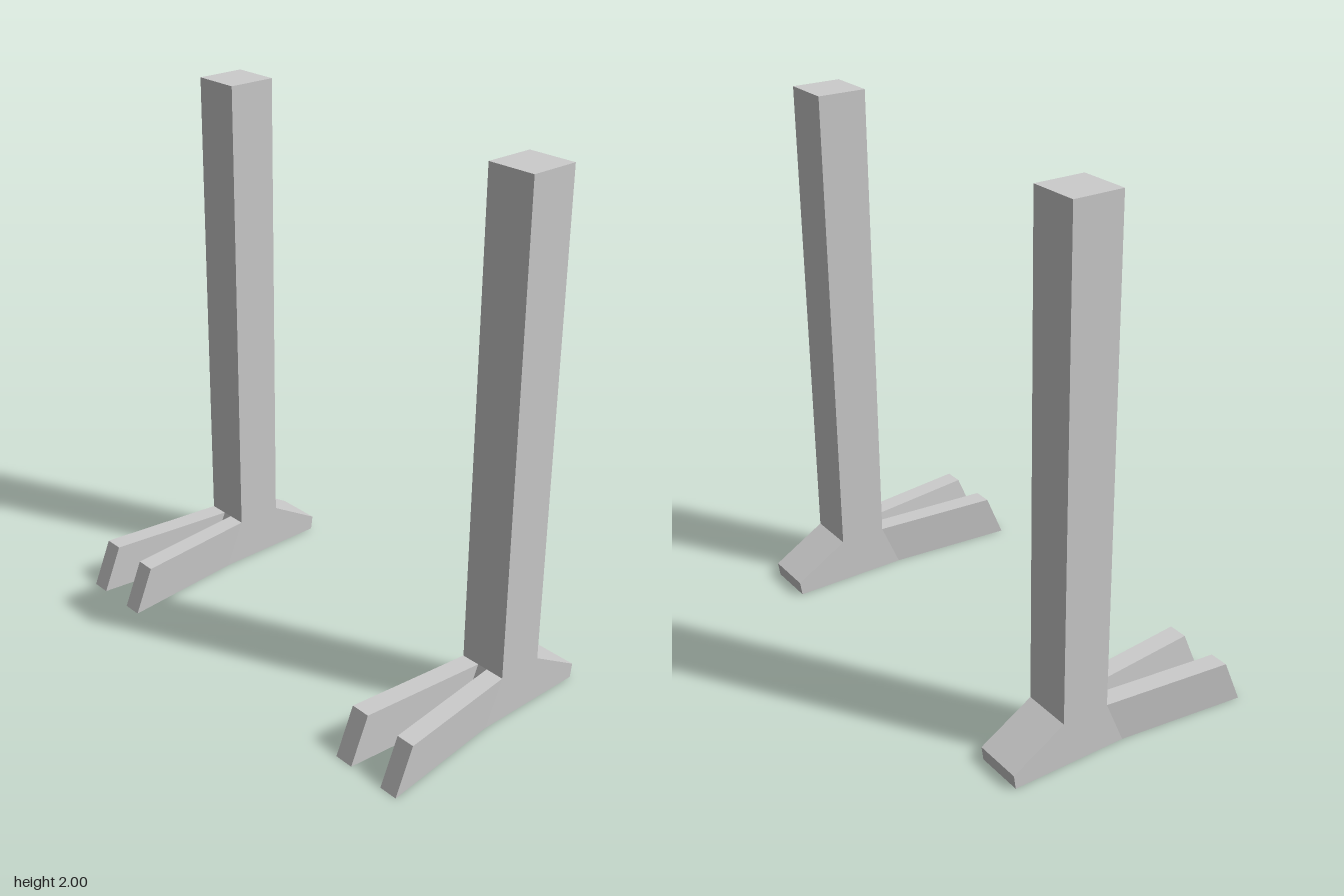
import * as THREE from 'three';

const material = new THREE.MeshStandardMaterial({ color: 0xcccccc, flatShading: true });

// Shank, ankle and heel: one side profile, points are [z, y]
const PROFILE = [
  [-0.29, 2], [-0.288, 2], [-0.1, 2], [-0.09, 0.175], [-0.015, 0],
  [-0.472, 0], [-0.48, 0.055], [-0.275, 0.175],
];
const LEG_INNER = 0.635, LEG_OUTER = 0.822;

// Toes: x ranges at the root and at the tip, measured on the left leg
const TOES = [
  { name: 'innerToe', root: [0.635, 0.707], tip: [0.588, 0.663] },
  { name: 'outerToe', root: [0.748, 0.822], tip: [0.807, 0.88] },
];
const TOE_HEIGHT = 0.175;

function makeShank(side) {
  const width = LEG_OUTER - LEG_INNER;
  const shape = new THREE.Shape(PROFILE.map(([z, y]) => new THREE.Vector2(z, y)));
  const geometry = new THREE.ExtrudeGeometry(shape, { depth: width, bevelEnabled: false });
  geometry.translate(0, 0, -width / 2);
  geometry.rotateY(-Math.PI / 2);
  geometry.translate(side * (LEG_INNER + LEG_OUTER) / 2, 0, 0);
  const mesh = new THREE.Mesh(geometry, material);
  mesh.name = 'shankAndHeel';
  return mesh;
}

// A box whose ends lean back and which splays outward to the tip
function makeToe({ name, root, tip }, side) {
  const geometry = new THREE.BoxGeometry(1, 1, 1);
  const p = geometry.attributes.position;
  for (let i = 0; i < p.count; i++) {
    const top = p.getY(i) > 0;
    const atTip = p.getZ(i) > 0;
    const range = atTip ? tip : root;
    const x = side * (p.getX(i) * side > 0 ? range[1] : range[0]);
    const z = (atTip ? 0.48 : -0.015) - (top ? 0.075 : 0);
    p.setXYZ(i, x, top ? TOE_HEIGHT : 0, z);
  }
  geometry.computeVertexNormals();
  const mesh = new THREE.Mesh(geometry, material);
  mesh.name = name;
  return mesh;
}

export function createModel() {
  const model = new THREE.Group();
  model.name = 'birdLegs';
  for (const side of [1, -1]) {
    const leg = new THREE.Group();
    leg.name = side > 0 ? 'leftLeg' : 'rightLeg';
    leg.add(makeShank(side), ...TOES.map((toe) => makeToe(toe, side)));
    model.add(leg);
  }
  return model;
}
